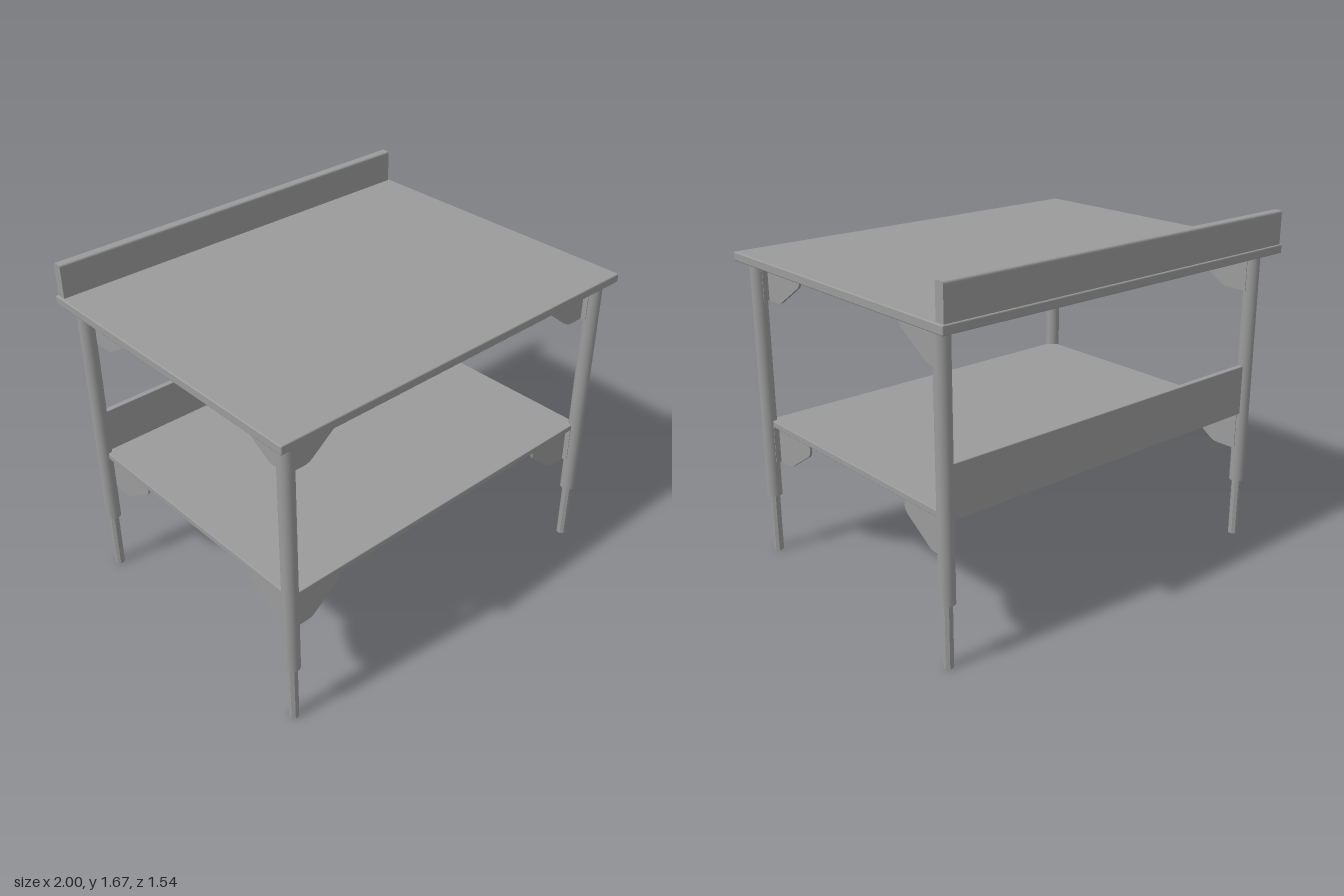
import * as THREE from 'three';
import { RoundedBoxGeometry } from 'three/addons/geometries/RoundedBoxGeometry.js';

const LEG_FRONT = 0.706;
const LEG_BACK = -0.663;
const LEG_LEFT = 0.921;
const LEG_RIGHT = -0.928;
const TOP_UNDERSIDE = 1.468;
const SHELF_UNDERSIDE = 0.661;
const GUSSET_INSET = 0.033;

export function createModel() {
  const model = new THREE.Group();
  model.name = 'workbench';
  const grey = new THREE.MeshStandardMaterial({ color: 0x9b9b9b });

  const add = (name, geometry, x, y, z, parent = model) => {
    const mesh = new THREE.Mesh(geometry, grey);
    mesh.name = name;
    mesh.position.set(x, y, z);
    parent.add(mesh);
    return mesh;
  };

  // Box with slightly rounded edges, given by its min and max corners
  const panel = (name, [x0, y0, z0], [x1, y1, z1], radius) =>
    add(name, new RoundedBoxGeometry(x1 - x0, y1 - y0, z1 - z0, 3, radius),
      (x0 + x1) / 2, (y0 + y1) / 2, (z0 + z1) / 2);

  panel('worktop', [-1, TOP_UNDERSIDE, -0.772], [1, 1.51, 0.772], 0.006);

  // Rear upstand: rounded along its top, cut square at its ends
  const w = 0.024, h = 0.165, r = 0.012;
  const upstand = new THREE.Shape();
  upstand.moveTo(-w, 0);
  upstand.lineTo(w, 0);
  upstand.lineTo(w, h - r);
  upstand.quadraticCurveTo(w, h, w - r, h);
  upstand.lineTo(r - w, h);
  upstand.quadraticCurveTo(-w, h, -w, h - r);
  upstand.closePath();
  const upstandGeometry = new THREE.ExtrudeGeometry(upstand, { depth: 1.976, bevelEnabled: false, curveSegments: 5 });
  upstandGeometry.translate(0, 0, -0.988).rotateY(Math.PI / 2);
  add('backsplash', upstandGeometry, 0, 1.504, -0.741);

  // Lower shelf and its rear board, held between the legs
  panel('lowerShelf', [LEG_RIGHT, SHELF_UNDERSIDE, LEG_BACK], [LEG_LEFT, 0.692, LEG_FRONT], 0.004);
  panel('shelfBackboard', [LEG_RIGHT, SHELF_UNDERSIDE, LEG_BACK - 0.014], [LEG_LEFT, 0.908, LEG_BACK + 0.014], 0.004);

  // Gusset plate: runs along +x from the leg axis, hanging below y = 0
  const gussetGeometry = (length) => {
    const s = new THREE.Shape();
    s.moveTo(0, 0);
    s.lineTo(length, 0);
    s.lineTo(length, -0.045);
    s.quadraticCurveTo(length, -0.065, length - 0.02, -0.08);
    s.lineTo(0.155, -0.17);
    s.quadraticCurveTo(0.135, -0.185, 0.11, -0.185);
    s.lineTo(0, -0.185);
    s.closePath();
    const g = new THREE.ExtrudeGeometry(s, { depth: 0.012, bevelEnabled: false, curveSegments: 5 });
    return g.translate(0, 0, -0.006);
  };
  const crossGusset = gussetGeometry(0.29);
  const sideGusset = gussetGeometry(0.314);

  const tube = new THREE.CylinderGeometry(0.036, 0.036, TOP_UNDERSIDE - 0.3, 32);
  // Eight-sided foot, turned so that flats face the front and sides
  const foot = new THREE.CylinderGeometry(0.0235, 0.0235, 0.32, 8).rotateY(Math.PI / 8).toNonIndexed();
  foot.computeVertexNormals();

  // Four legs with adjustable feet and gussets under the top and the shelf
  for (const x of [LEG_LEFT, LEG_RIGHT]) {
    for (const z of [LEG_FRONT, LEG_BACK]) {
      const isFront = z > 0;
      const inX = -Math.sign(x) * GUSSET_INSET;
      const leg = new THREE.Group();
      leg.name = (isFront ? 'front' : 'back') + (x > 0 ? 'Left' : 'Right') + 'Leg';
      leg.position.set(x, 0, z);
      model.add(leg);
      add('legTube', tube, 0, (TOP_UNDERSIDE + 0.3) / 2, 0, leg);
      add('adjustableFoot', foot, 0, 0.16, 0, leg);

      for (const y of [TOP_UNDERSIDE, SHELF_UNDERSIDE]) {
        add('sideGusset', sideGusset, inX, y, 0, leg).rotation.y = isFront ? Math.PI / 2 : -Math.PI / 2;
        // Only the front legs are braced across the width
        if (isFront) add('crossGusset', crossGusset, 0, y, -GUSSET_INSET, leg).rotation.y = x > 0 ? Math.PI : 0;
      }
    }
  }
  return model;
}
